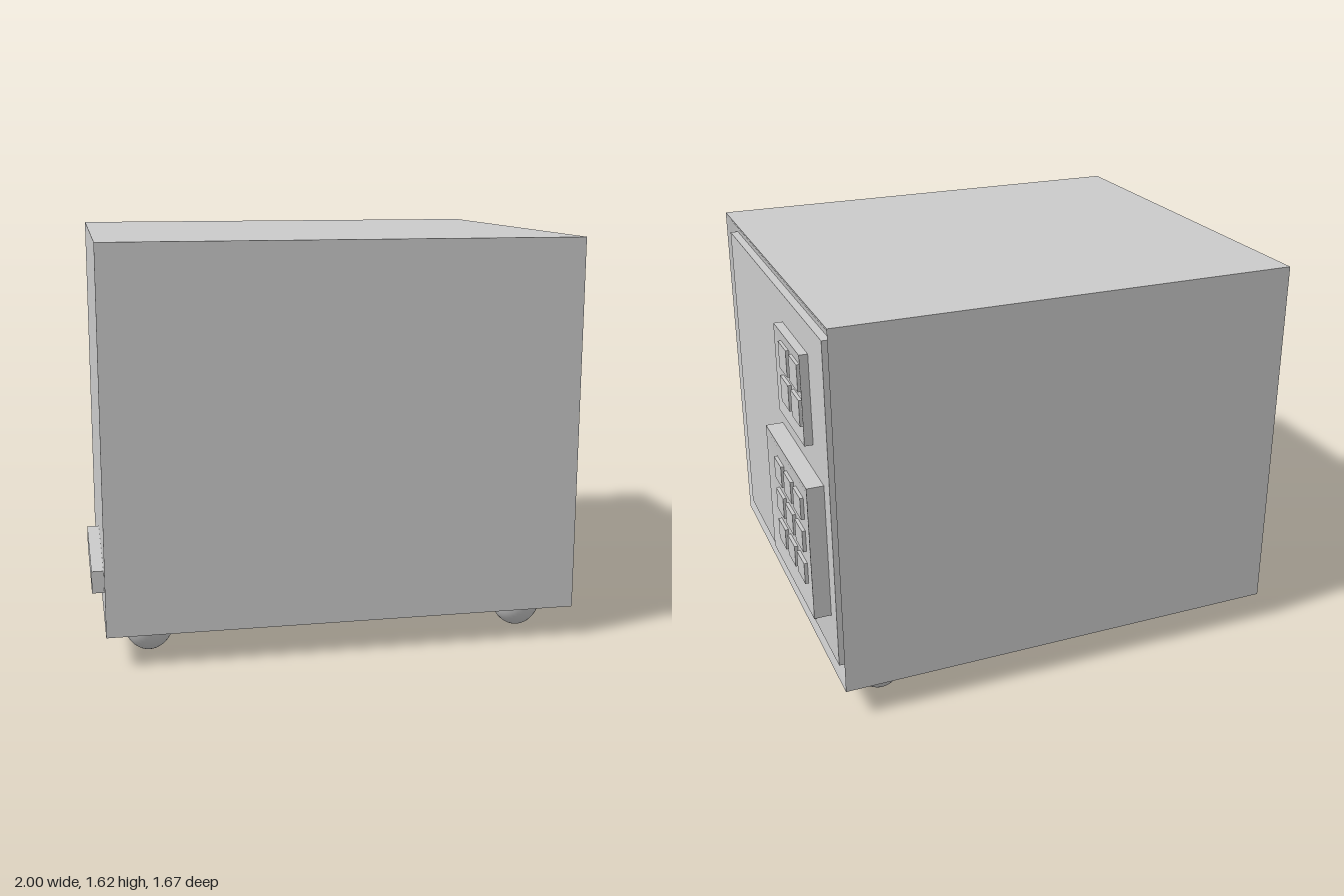
import * as THREE from 'three';
import { toCreasedNormals } from 'three/addons/utils/BufferGeometryUtils.js';

const material = new THREE.MeshStandardMaterial({ color: 0xcccccc });

function add(parent, name, geometry, x = 0, y = 0, z = 0) {
  const mesh = new THREE.Mesh(geometry, material);
  mesh.name = name;
  mesh.position.set(x, y, z);
  parent.add(mesh);
  return mesh;
}

// Box spanning the given extents
function block(parent, name, [x0, x1], [y0, y1], [z0, z1]) {
  return add(parent, name, new THREE.BoxGeometry(x1 - x0, y1 - y0, z1 - z0),
    (x0 + x1) / 2, (y0 + y1) / 2, (z0 + z1) / 2);
}

// Rectangular sections [x, inset] joined along x and capped at both ends
function loft(sections, [y0, y1], [z0, z1], crease) {
  const points = [], index = [];
  for (const [x, inset] of sections) {
    const a = y0 + inset, b = y1 - inset, c = z0 + inset, d = z1 - inset;
    points.push(x, a, c, x, b, c, x, b, d, x, a, d);
  }
  for (let s = 0; s < sections.length - 1; s++) {
    for (let i = 0; i < 4; i++) {
      const a = s * 4 + i, b = s * 4 + (i + 1) % 4;
      index.push(a, b + 4, b, a, a + 4, b + 4);
    }
  }
  const e = (sections.length - 1) * 4;
  index.push(0, 2, 3, 0, 1, 2, e, e + 2, e + 1, e, e + 3, e + 2);
  // Reverse the side winding so that every face looks outwards
  for (let k = 0; k < index.length - 12; k += 3) {
    [index[k + 1], index[k + 2]] = [index[k + 2], index[k + 1]];
  }
  // Orient each triangle of the first cap towards -x and the last towards +x
  for (let k = index.length - 12; k < index.length; k += 3) {
    const v = [0, 1, 2].map(j => new THREE.Vector3().fromArray(points, index[k + j] * 3));
    const nx = v[1].sub(v[0]).cross(v[2].sub(v[0])).x;
    if ((nx > 0) !== (index[k] >= e)) [index[k + 1], index[k + 2]] = [index[k + 2], index[k + 1]];
  }
  const geometry = new THREE.BufferGeometry();
  geometry.setAttribute('position', new THREE.Float32BufferAttribute(points, 3));
  geometry.setIndex(index);
  return toCreasedNormals(geometry, crease);
}

// Shallow dished plate carrying a grid of raised buttons
function keypad(parent, name, top, yRange, zRange, rows, columns) {
  const pad = new THREE.Group();
  pad.name = name;
  parent.add(pad);
  const dish = [[0.9, 0], [top, 0], [top - 0.006, 0.03], [top - 0.014, 0.06]];
  add(pad, 'padPlate', loft(dish, yRange, zRange, 0.5));
  for (const row of rows) {
    for (const column of columns) block(pad, 'button', [top - 0.03, top], row, column);
  }
}

export function createModel() {
  const model = new THREE.Group();
  model.name = 'safe';

  // Cabinet and door, turned very slightly
  const cabinet = new THREE.Group();
  cabinet.name = 'cabinet';
  cabinet.rotation.y = -0.005;
  model.add(cabinet);

  // Body with a sloping recess around the door
  const shell = [[-0.95, 0], [0.928, 0], [0.916, 0.025], [0.902, 0.05], [0.89, 0.09]];
  add(cabinet, 'body', loft(shell, [0.125, 1.622], [-0.832, 0.832], 0.9));
  block(cabinet, 'doorPanel', [0.87, 0.928], [0.195, 1.55], [-0.75, 0.755]);

  // Two button pads on the door
  keypad(model, 'upperKeypad', 0.965, [1.06, 1.428], [-0.54, -0.16],
    [[1.12, 1.228], [1.262, 1.372]],
    [[-0.49, -0.373], [-0.333, -0.215]]);
  keypad(model, 'lowerKeypad', 1, [0.38, 0.947], [-0.667, -0.042],
    [[0.475, 0.566], [0.618, 0.71], [0.76, 0.853]],
    [[-0.555, -0.445], [-0.41, -0.3], [-0.262, -0.152]]);

  // Lock plate with a round knob
  block(model, 'lockPlate', [0.9, 0.936], [0.218, 0.348], [-0.424, -0.285]);
  const knob = add(model, 'lockKnob', new THREE.CylinderGeometry(0.028, 0.028, 0.03, 32), 0.931, 0.284, -0.355);
  knob.rotation.z = -Math.PI / 2;
  const pin = add(model, 'lockPin', new THREE.CylinderGeometry(0.008, 0.008, 0.008, 16), 0.945, 0.284, -0.355);
  pin.rotation.z = -Math.PI / 2;

  // Bar low on the opposite side
  block(model, 'sideBar', [-1, -0.93], [0.275, 0.362], [0.1, 0.733]);

  // Rounded feet
  const profile = [];
  for (let i = 0; i <= 16; i++) {
    const a = (i / 16) * Math.PI / 2;
    profile.push(new THREE.Vector2(0.104 * Math.sin(a), 0.13 * (1 - Math.cos(a))));
  }
  const foot = new THREE.LatheGeometry(profile, 32);
  for (const [x, z] of [[-0.78, 0.635], [0.748, 0.65], [-0.78, -0.635], [0.748, -0.655]]) {
    add(model, 'foot', foot, x, 0, z);
  }
  return model;
}
